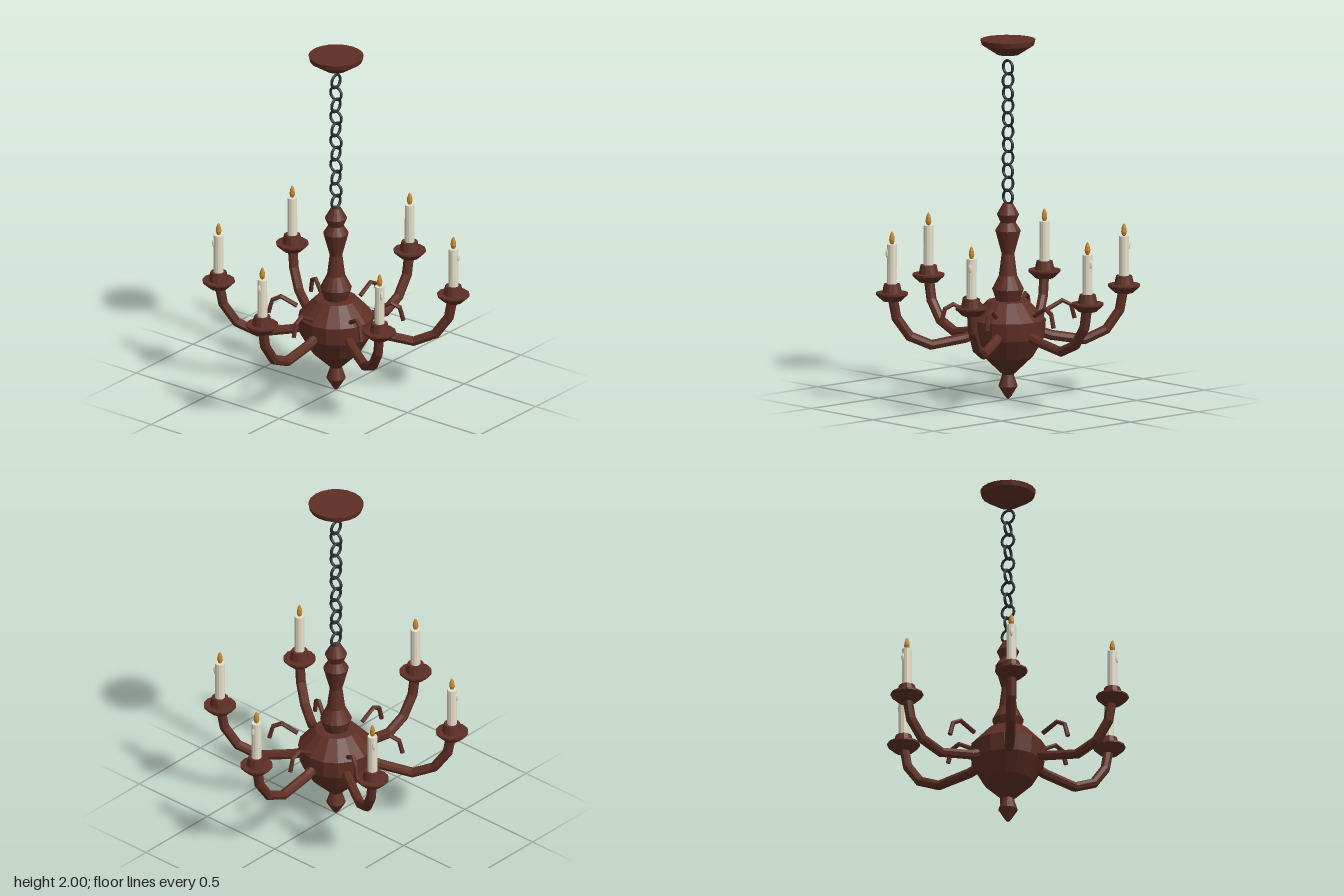
import * as THREE from 'three';

const iron = new THREE.MeshStandardMaterial({ color: 0x5e2f24, flatShading: true, name: 'rust brown' });
const steel = new THREE.MeshStandardMaterial({ color: 0x2b2f33, flatShading: true, name: 'dark chain' });
const wax = new THREE.MeshStandardMaterial({ color: 0xe6dfca, flatShading: true, name: 'cream wax' });
const glow = new THREE.MeshStandardMaterial({ color: 0xc88a30, flatShading: true, name: 'amber flame' });

function add(parent, name, geometry, material, x = 0, y = 0, z = 0) {
  const mesh = new THREE.Mesh(geometry, material);
  mesh.name = name;
  mesh.position.set(x, y, z);
  parent.add(mesh);
  return mesh;
}

// Turned part from [radius, height] pairs, listed bottom to top
const turned = (profile, sides) =>
  new THREE.LatheGeometry(profile.map(([r, y]) => new THREE.Vector2(r, y)), sides);

// Faceted tube whose rings sit exactly on the given [x, y] points
function bentTube(points, radius, sides) {
  const curve = new THREE.CatmullRomCurve3(points.map(([x, y]) => new THREE.Vector3(x, y, 0)));
  curve.getPointAt = (t, target) => curve.getPoint(t, target);
  curve.getTangentAt = (t, target) => curve.getTangent(t, target);
  return new THREE.TubeGeometry(curve, points.length - 1, radius, sides);
}

// One arm along +x with its scroll, drip pan, candle and flame
function createArm() {
  const arm = new THREE.Group();
  arm.name = 'candleArm';
  const reach = 0.65;

  add(arm, 'armTube', bentTube(
    [[0.13, 0.39], [0.24, 0.35], [0.43, 0.318], [0.55, 0.37], [0.625, 0.475], [0.648, 0.6]], 0.028, 8), iron);

  const scroll = [[0.215, 0.49], [0.305, 0.54], [0.353, 0.515], [0.373, 0.44]];
  add(arm, 'scroll', bentTube(scroll, 0.013, 6), iron);
  [[0, 1], [3, 2]].forEach(([end, next]) => {
    const [x, y] = scroll[end], [nx, ny] = scroll[next];
    const cap = add(arm, 'scrollEnd', new THREE.CircleGeometry(0.013, 6), iron, x, y);
    cap.lookAt(2 * x - nx, 2 * y - ny, 0);
  });

  add(arm, 'dripPan', turned([[0, 0.57], [0.05, 0.57], [0.09, 0.607], [0.09, 0.617], [0, 0.617]], 12), iron, reach);
  add(arm, 'candleCup', new THREE.CylinderGeometry(0.045, 0.056, 0.05, 12), iron, reach, 0.64);
  add(arm, 'candle', new THREE.CylinderGeometry(0.027, 0.028, 0.25, 12), wax, reach, 0.76);

  // Wax drip on the outer side
  const drip = add(arm, 'waxDrip', new THREE.SphereGeometry(0.01, 8, 6), wax, reach + 0.026, 0.835);
  drip.scale.y = 2.5;

  add(arm, 'flame', turned(
    [[0, 0.882], [0.011, 0.89], [0.016, 0.908], [0.013, 0.93], [0.007, 0.948], [0, 0.957]], 8), glow, reach);
  return arm;
}

export function createModel() {
  const model = new THREE.Group();
  model.name = 'chandelier';

  // Central turned column with bulb body and finial
  add(model, 'column', turned([
    [0, 0], [0.016, 0.015], [0.053, 0.075], [0.032, 0.14], [0.137, 0.24], [0.2, 0.35], [0.208, 0.45],
    [0.115, 0.55], [0.065, 0.55], [0.087, 0.615], [0.05, 0.69], [0.035, 0.81], [0.07, 0.94],
    [0.042, 0.985], [0.061, 1.03], [0.027, 1.09], [0, 1.09]], 16), iron);

  for (let i = 0; i < 6; i++) {
    const arm = createArm();
    arm.rotation.y = i * Math.PI / 3;
    model.add(arm);
  }

  // Chain of alternating links
  const link = new THREE.TorusGeometry(0.038, 0.008, 6, 16);
  for (let i = 0; i < 11; i++) {
    const ring = add(model, 'chainLink', link, steel, 0, 1.125 + i * 0.072, 0);
    ring.rotation.y = (i % 2) * Math.PI / 2;
  }

  // Ceiling canopy
  add(model, 'canopy', turned(
    [[0, 1.917], [0.06, 1.917], [0.145, 1.972], [0.152, 2], [0, 2]], 20), iron);
  return model;
}
